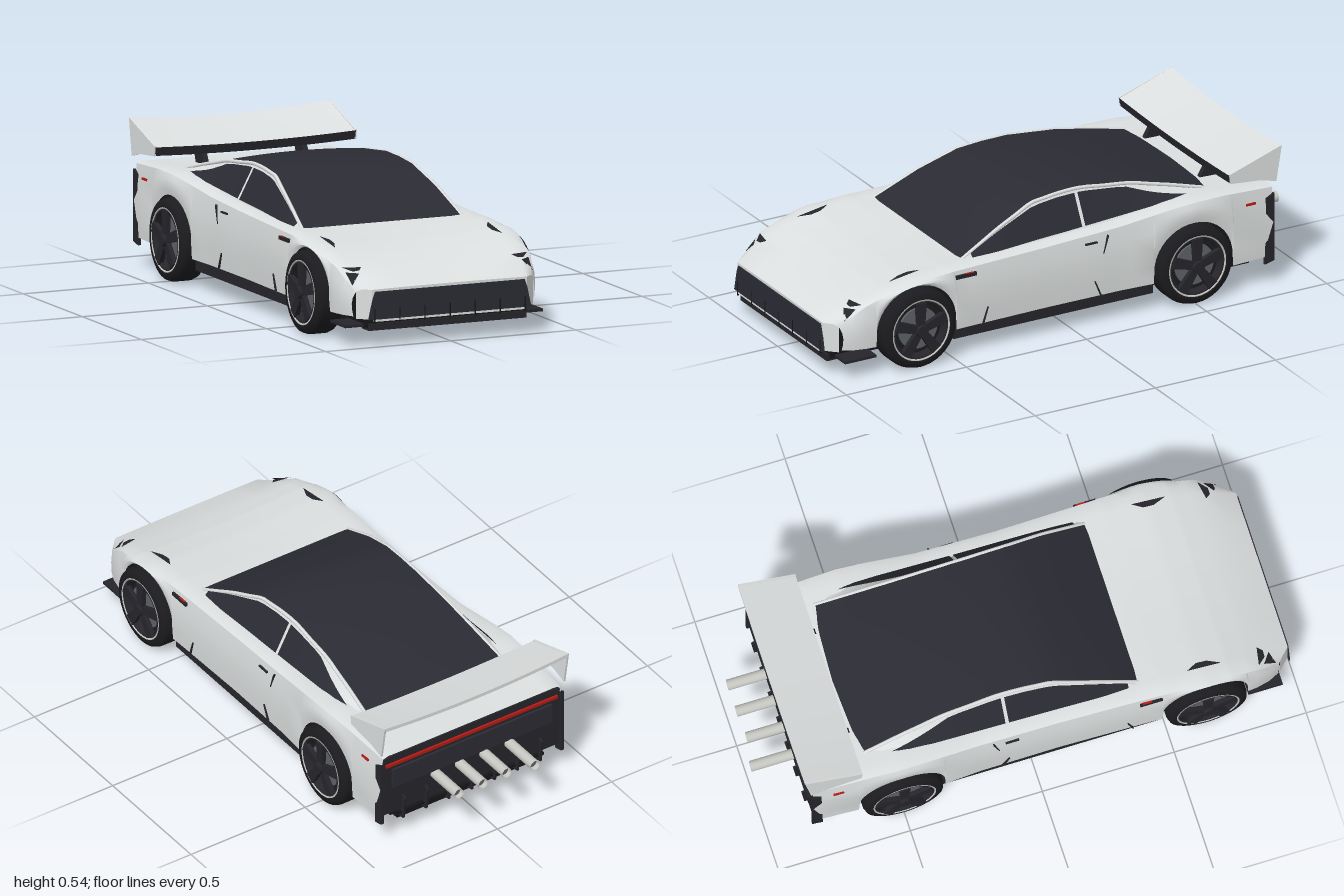
import * as THREE from 'three';
import { toCreasedNormals } from 'three/addons/utils/BufferGeometryUtils.js';

const mat = (name, color) => new THREE.MeshStandardMaterial({ name, color, side: THREE.DoubleSide });
const paint = mat('white paint', 0xdcdfdf), glass = mat('dark glass', 0x2b2b34), trim = mat('black trim', 0x25252b);
const rubber = mat('tyre rubber', 0x1c1c20), under = mat('underbody black', 0x161618), red = mat('red light', 0xb81a14);
const steel = mat('exhaust steel', 0xc6c6c1), disc = mat('brake disc', 0x5d6167);

const R = 0.163, AXLES = [0.65, -0.5], WHEEL_Y = 0.153;

// Body stations: z, side x, shoulder y, inner x, inner y, centre y
const BODY = [
  [0.99, 0.365, 0.2, 0.31, 0.21, 0.212], [0.93, 0.385, 0.238, 0.32, 0.245, 0.238],
  [0.85, 0.396, 0.272, 0.325, 0.279, 0.268], [0.75, 0.405, 0.305, 0.33, 0.31, 0.296],
  [0.65, 0.41, 0.325, 0.33, 0.331, 0.314], [0.5, 0.408, 0.335, 0.33, 0.342, 0.328],
  [0.42, 0.405, 0.336, 0.33, 0.342, 0.335], [0.1, 0.398, 0.342, 0.335, 0.35, 0.35],
  [-0.2, 0.4, 0.356, 0.335, 0.364, 0.364], [-0.4, 0.412, 0.382, 0.335, 0.388, 0.385],
  [-0.5, 0.416, 0.391, 0.335, 0.396, 0.388], [-0.63, 0.411, 0.39, 0.335, 0.394, 0.385],
  [-0.835, 0.4, 0.376, 0.33, 0.382, 0.382]];
// Cabin stations: z, roof half width, roof y, base half width, base y
const CABIN = [
  [0.42, 0.318, 0.336, 0.334, 0.334], [0.25, 0.297, 0.418, 0.337, 0.34], [0.1, 0.274, 0.476, 0.338, 0.346],
  [0, 0.269, 0.486, 0.338, 0.35], [-0.1, 0.267, 0.488, 0.338, 0.356], [-0.31, 0.273, 0.463, 0.338, 0.372],
  [-0.47, 0.285, 0.425, 0.337, 0.386], [-0.64, 0.3, 0.38, 0.33, 0.382]];

// Reads a station table at any z
function at(table, z) {
  let i = 0;
  while (i < table.length - 2 && z < table[i + 1][0]) i++;
  const a = table[i], b = table[i + 1], k = THREE.MathUtils.clamp((z - a[0]) / (b[0] - a[0]), 0, 1);
  return a.map((v, j) => v + (b[j] - v) * k);
}
const range = (a, b, n) => Array.from({ length: n + 1 }, (_, i) => a + (b - a) * i / n);

// Surface through rows of [x, y, z] points
function loft(rows, crease = 0.6) {
  const n = rows[0].length, index = [];
  for (let i = 0; i < rows.length - 1; i++) for (let j = 0; j < n - 1; j++) {
    const a = i * n + j, b = a + n;
    index.push(a, b, a + 1, b, b + 1, a + 1);
  }
  const g = new THREE.BufferGeometry();
  g.setAttribute('position', new THREE.Float32BufferAttribute(rows.flat(2), 3));
  g.setIndex(index);
  return toCreasedNormals(g, crease);
}

// Nose corners sweep back
const sweep = (x, z) => z - Math.max(0, z - 0.85) / 0.14 * 0.055 * THREE.MathUtils.clamp((Math.abs(x) - 0.31) / 0.055, 0, 1);

function bodyHalf(z) {
  const [, side, sy, ix, iy, cy] = at(BODY, z);
  let low = 0.108;
  for (const a of AXLES) if (Math.abs(z - a) <= R) low = Math.max(low, WHEEL_Y + Math.sqrt(Math.max(0, R * R - (z - a) ** 2)));
  const pts = [0, 0.25, 0.5, 0.75, 1].map(t => [side - 0.012 * (2 * t - 1) ** 2 * (t > 0.5 ? 1 : 0.4), low + (sy - low) * t]);
  pts.push([(side + ix) / 2, (sy + iy) / 2 + 0.004], [ix, iy], [ix * 0.6, iy + (cy - iy) * 0.7], [0, cy]);
  return pts.map(([x, y]) => [x, y, sweep(x, z)]);
}
const mirrorRow = h => [...h, ...h.slice(0, -1).reverse().map(([x, y, z]) => [-x, y, z])];

// Height of the painted top surface
function topY(x, z) {
  const [, side, sy, ix, iy, cy] = at(BODY, z);
  return x > ix ? iy + (sy - iy) * (x - ix) / (side - 0.012 - ix) + 0.004 : cy + (iy - cy) * (x / ix);
}

function shapeMesh(pts, depth) {
  return new THREE.ExtrudeGeometry(new THREE.Shape(pts.map(p => new THREE.Vector2(...p))), { depth, bevelEnabled: false });
}

function makeWheel() {
  const w = new THREE.Group();
  const put = (geo, m, name, x = 0) => {
    const o = new THREE.Mesh(geo, m); o.name = name; o.position.x = x; w.add(o); return o;
  };
  const ring = (pts, m, name) => put(new THREE.LatheGeometry(pts.map(p => new THREE.Vector2(...p)), 40).rotateZ(-Math.PI / 2), m, name);
  ring([[0, -0.055], [0.125, -0.055], [0.147, -0.045], [0.153, -0.03], [0.153, 0.03], [0.147, 0.047], [0.125, 0.055], [0.118, 0.053]], rubber, 'tyre');
  ring([[0.119, 0.054], [0.113, 0.054], [0.108, 0.025]], steel, 'rimLip');
  ring([[0.113, 0.052], [0.1, 0.05], [0.098, 0.022]], trim, 'rim');
  put(new THREE.CylinderGeometry(0.112, 0.112, 0.01, 32).rotateZ(Math.PI / 2), rubber, 'rimBack', 0.018);
  put(new THREE.CylinderGeometry(0.08, 0.08, 0.008, 32).rotateZ(Math.PI / 2), disc, 'brakeDisc', 0.028);
  for (let i = 0; i < 5; i++) {
    const s = shapeMesh([[-0.013, 0], [0.013, 0], [0.021, 0.108], [-0.021, 0.108]], 0.018).rotateY(Math.PI / 2);
    put(s, trim, 'spoke', 0.04).rotation.x = i * Math.PI * 0.4;
  }
  put(new THREE.CylinderGeometry(0.022, 0.026, 0.03, 20).rotateZ(-Math.PI / 2), trim, 'hub', 0.055);
  return w;
}

export function createModel() {
  const car = new THREE.Group();
  car.name = 'sportsCar';
  const add = (name, geo, m, x = 0, y = 0, z = 0) => {
    const o = new THREE.Mesh(geo, m); o.name = name; o.position.set(x, y, z); car.add(o); return o;
  };
  const box = (name, m, w, h, d, x, y, z) => add(name, new THREE.BoxGeometry(w, h, d), m, x, y, z);

  // Painted shell with wheel arches
  const zs = [...BODY.map(b => b[0]), ...range(0.4, -0.25, 8)];
  for (const a of AXLES) {
    for (const t of range(0, Math.PI, 20)) zs.push(a + R * 0.9999 * Math.cos(t));
    zs.push(a + R + 0.001, a - R - 0.001);
  }
  zs.sort((a, b) => b - a);
  add('bodyShell', loft(zs.map(z => mirrorRow(bodyHalf(z)))), paint);

  // Nose face, grille and splitter
  const lip = mirrorRow(bodyHalf(0.99).slice(4));
  add('noseFace', loft([lip, lip.map(([x, , z]) => [x, 0.1, z])]), paint);
  add('grille', shapeMesh([[-0.325, 0.1], [0.325, 0.1], [0.308, 0.175], [0.298, 0.202], [-0.298, 0.202], [-0.308, 0.175]], 0.006), glass, 0, 0, 0.989);
  box('grilleLip', paint, 0.6, 0.008, 0.012, 0, 0.096, 0.988);
  for (const x of range(-0.3, 0.3, 6)) box('grilleBar', under, 0.004, 0.055, 0.006, x, 0.112, 0.993);
  box('splitterBar', trim, 0.63, 0.025, 0.06, 0, 0.069, 0.945);
  box('splitterPlate', trim, 0.79, 0.01, 0.13, 0, 0.073, 0.88);

  // Underbody, wheel wells and side skirts
  box('underbody', under, 0.62, 0.2, 1.61, 0, 0.165, -0.005);
  box('frontUnderbody', under, 0.64, 0.12, 0.17, 0, 0.127, 0.88);
  box('floor', under, 0.64, 0.012, 1.72, 0, 0.068, 0.08);
  box('sideSkirts', trim, 0.775, 0.05, 0.83, 0, 0.09, 0.075);

  // Windscreen and roof
  const cz = [...CABIN.map(c => c[0]), 0.335, 0.17, 0.05, -0.2, -0.39, -0.55].sort((a, b) => b - a);
  const roofRow = z => {
    const [, w, y] = at(CABIN, z);
    const f = Math.min(1, (0.42 - z) / 0.3, (z + 0.64) / 0.3);
    return range(-1, 1, 10).map(u => [u * w, y + 0.004 + 0.012 * f * (1 - u * u), z]);
  };
  add('roofAndWindscreen', loft(cz.map(roofRow)), glass);

  // Point on the cabin flank, t from roof to base
  const flank = (s, z, t, off = 0) => {
    const [, w, y, wb, yb] = at(CABIN, z);
    return [s * (w + (wb - w) * t + off), y + (yb - y) * t + off * 0.4, z];
  };
  const topT = z => z > -0.28 ? 0.09 : 0.09 + 0.75 * (-0.28 - z) / 0.29;

  for (const s of [1, -1]) {
    add('cabinSide', loft(cz.map(z => [flank(s, z, 0), flank(s, z, 1)])), paint);
    const rail = new THREE.CatmullRomCurve3(cz.map(z => new THREE.Vector3(...flank(s, z, 0, 0.001))));
    add('roofRail', new THREE.TubeGeometry(rail, 40, 0.007, 8), paint);
    const pane = (a, b) => loft(range(a, b, 12).map(z => [flank(s, z, topT(z), 0.005), flank(s, z, 0.93, 0.005)]));
    add('frontSideWindow', pane(0.38, -0.075), glass);
    add('rearSideWindow', pane(-0.088, -0.57), glass);

    // Bonnet vents and headlights
    const patch = (name, pts) => {
      const p = pts.map(([x, z]) => [s * x, topY(x, z) + 0.006, sweep(x, z)]);
      add(name, loft([[p[0], p[1]], [p[3] || p[2], p[2]]]), trim);
    };
    patch('bonnetVent', [[0.335, 0.73], [0.336, 0.6], [0.314, 0.64], [0.314, 0.68]]);
    patch('headlight', [[0.3, 0.875], [0.37, 0.87], [0.34, 0.905], [0.315, 0.895]]);
    patch('headlightBlade', [[0.365, 0.905], [0.325, 0.92], [0.36, 0.975]]);

    // Flank details
    const decal = (name, m, z, y, len, h, tilt = 0) => {
      box(name, m, 0.009, h, len, s * (at(BODY, z)[1] - (y > 0.29 ? 0.005 : 0.001)), y, z).rotation.x = tilt;
    };
    decal('sideVent', trim, 0.445, 0.312, 0.085, 0.014);
    decal('sideMarker', red, 0.43, 0.312, 0.035, 0.015);
    decal('doorHandle', trim, -0.08, 0.32, 0.05, 0.006);
    decal('doorFrontSeam', trim, 0.365, 0.14, 0.004, 0.065, -0.3);
    decal('doorRearSeam', trim, -0.105, 0.14, 0.004, 0.065, 0.4);
    decal('doorTopSeam', trim, -0.14, 0.305, 0.004, 0.07, -0.3);
    decal('rearMarker', red, -0.74, 0.333, 0.04, 0.008);

    // Rear corner vents
    add('rearCorner', shapeMesh([[0.805, 0.34], [0.84, 0.355], [0.84, 0.09], [0.8, 0.08]], 0.012).rotateY(Math.PI / 2), trim, s * 0.394 - 0.006);

    // Wing end plates and struts
    add('wingEndPlate', shapeMesh([[0.65, 0.468], [0.868, 0.54], [0.845, 0.402], [0.78, 0.42], [0.655, 0.432]], 0.008).rotateY(Math.PI / 2), paint, s * 0.4 - 0.004);
    add('wingStrut', shapeMesh([[0.63, 0.375], [0.71, 0.375], [0.74, 0.46], [0.67, 0.44]], 0.02).rotateY(Math.PI / 2), trim, s * 0.2 - 0.01);

    // Wheels
    for (const z of AXLES) {
      const w = makeWheel();
      w.name = z > 0 ? 'frontWheel' : 'rearWheel';
      w.position.set(s * 0.38, WHEEL_Y, z);
      if (s < 0) w.rotation.y = Math.PI;
      car.add(w);
    }
  }

  // Rear wing blade, bowed upwards at the tips
  const us = range(-1, 1, 16);
  const bladeRow = (y, z) => us.map(u => [u * 0.4, y + 0.018 * u * u * (z < -0.75 ? 1 : 0.5), z]);
  add('wingTop', loft([bladeRow(0.456, -0.65), bladeRow(0.522, -0.868), bladeRow(0.508, -0.868)]), paint);
  add('wingUnderside', loft([bladeRow(0.456, -0.65), bladeRow(0.424, -0.655), bladeRow(0.43, -0.7), bladeRow(0.508, -0.868)]), trim);

  // Tail panel, light strip and diffuser
  add('tailPanel', shapeMesh([[-0.385, 0.12], [0.385, 0.12], [0.388, 0.366], [0.33, 0.374], [-0.33, 0.374], [-0.388, 0.366]], 0.012), trim, 0, 0, -0.832);
  box('tailFascia', glass, 0.7, 0.08, 0.012, 0, 0.275, -0.836);
  box('tailLight', red, 0.75, 0.012, 0.01, 0, 0.338, -0.835);
  box('diffuser', under, 0.64, 0.012, 0.05, 0, 0.1, -0.805);
  for (const x of range(-0.3, 0.3, 6))
    add('diffuserFin', shapeMesh([[0.74, 0.065], [0.84, 0.08], [0.85, 0.17], [0.8, 0.2]], 0.008).rotateY(Math.PI / 2), trim, x - 0.004);

  // Exhaust pipes
  [[-0.165, 1], [-0.055, 0.98], [0.052, 0.985], [0.158, 0.985]].forEach(([x, end]) => {
    const len = end - 0.8;
    add('exhaustPipe', new THREE.CylinderGeometry(0.02, 0.02, len, 20, 1, true).rotateX(Math.PI / 2), steel, x, 0.217, -0.8 - len / 2);
    add('exhaustBore', new THREE.CircleGeometry(0.0195, 20).rotateY(Math.PI), disc, x, 0.217, -end + 0.02);
  });
  return car;
}
